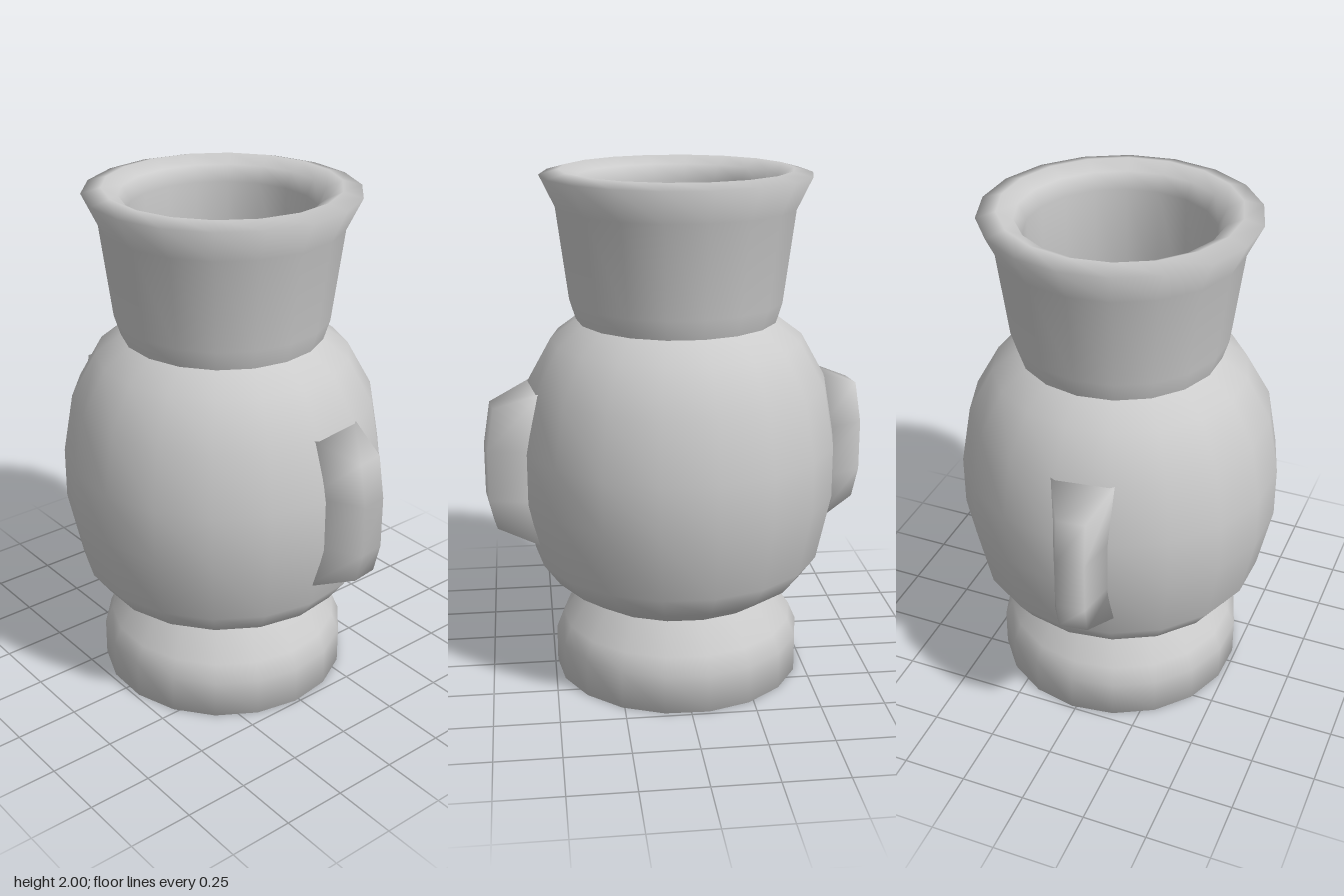
import * as THREE from 'three';
import { mergeVertices } from 'three/addons/utils/BufferGeometryUtils.js';

const SIDES = 18;
const PHASE = THREE.MathUtils.degToRad(-2);
const material = new THREE.MeshStandardMaterial({ color: 0xcccccc });

// Turned part from [radius, y] pairs, running up the outside and down the inside
function turned(name, profile) {
  const points = profile.map(([r, y]) => new THREE.Vector2(r, y));
  const mesh = new THREE.Mesh(new THREE.LatheGeometry(points, SIDES, PHASE), material);
  mesh.name = name;
  return mesh;
}

// Tapered lug: a box whose rows are moved so it narrows away from the body
function lugGeometry() {
  const tip = [[0.655, 0.725], [0.77, 0.752], [0.97, 0.752], [1.135, 0.725]]; // [y, distance]
  const rootY = [0.585, 0.77, 0.97, 1.2];
  let geometry = new THREE.BoxGeometry(2, 3, 2, 1, 3, 1);
  const p = geometry.attributes.position;
  for (let i = 0; i < p.count; i++) {
    const row = Math.round(p.getY(i) + 1.5);
    const side = Math.sign(p.getX(i));
    if (p.getZ(i) > 0) p.setXYZ(i, side * 0.053, tip[row][0], tip[row][1]);
    else p.setXYZ(i, side * 0.122, rootY[row], 0.55);
  }
  geometry.deleteAttribute('normal');
  geometry.deleteAttribute('uv');
  geometry = mergeVertices(geometry);
  geometry.computeVertexNormals();
  return geometry;
}

export function createModel() {
  const group = new THREE.Group();
  group.name = 'vase';

  // Hollow foot ring with a recessed underside
  group.add(turned('foot', [
    [0, 0.27], [0.2, 0.25], [0.33, 0.17], [0.36, 0.06], [0.42, 0.005],
    [0.49, 0], [0.49, 0.15], [0.46, 0.22], [0.385, 0.325], [0.37, 0.345],
  ]));

  // Rounded belly
  group.add(turned('body', [
    [0.37, 0.33], [0.395, 0.34], [0.5, 0.41], [0.565, 0.5], [0.62, 0.76],
    [0.62, 0.96], [0.58, 1.19], [0.485, 1.36], [0.385, 1.435],
  ]));

  // Flared neck, lip and the hollow inside
  group.add(turned('neckAndInterior', [
    [0.385, 1.43], [0.41, 1.51], [0.455, 1.86], [0.513, 1.98], [0.44, 2],
    [0.38, 1.97], [0.35, 1.91], [0.352, 1.46], [0.45, 1.32], [0.54, 1.13],
    [0.57, 0.86], [0.52, 0.58], [0.4, 0.42], [0.2, 0.36], [0, 0.35],
  ]));

  // Lugs on opposite sides, each over one facet of the belly
  const geometry = lugGeometry();
  ['frontLug', 'backLug'].forEach((name, i) => {
    const lug = new THREE.Mesh(geometry, material);
    lug.name = name;
    lug.rotation.y = PHASE + Math.PI / SIDES + i * Math.PI;
    group.add(lug);
  });

  return group;
}
